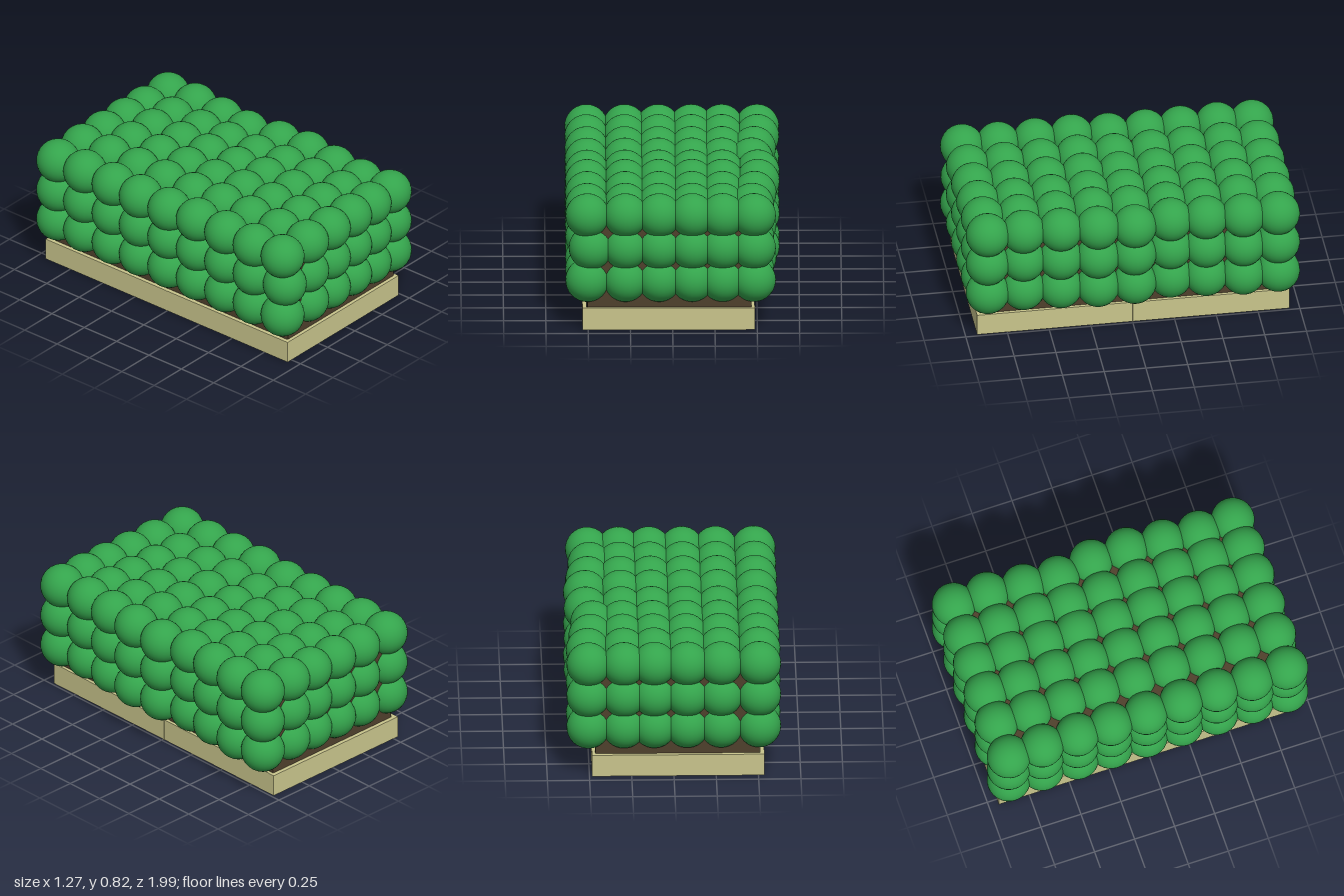
import * as THREE from 'three';

const mat = (color) => new THREE.MeshStandardMaterial({ color, side: THREE.DoubleSide });

export function createModel() {
  const model = new THREE.Group();
  const wood = mat(0xc9c58c), soil = mat(0x4f402c), leaf = mat(0x34a44c);

  const part = (parent, name, size, pos, material) => {
    const mesh = new THREE.Mesh(new THREE.BoxGeometry(...size), material);
    mesh.name = name;
    mesh.position.set(...pos);
    parent.add(mesh);
  };

  // Open rectangular frame of four thin walls around the given centre
  const frame = (parent, name, w, d, y0, y1, t, cx, cz, material) => {
    const h = y1 - y0, y = (y0 + y1) / 2;
    for (const s of [-1, 1]) {
      part(parent, name + 'End', [w, h, t], [cx, y, cz + s * (d - t) / 2], material);
      part(parent, name + 'Side', [t, h, d - 2 * t], [cx + s * (w - t) / 2, y, cz], material);
    }
  };

  // Planter edging boards with joint strips halfway along the long sides
  const planter = new THREE.Group();
  planter.name = 'planter';
  frame(planter, 'board', 1.02, 1.87, 0, 0.135, 0.025, -0.025, -0.005, wood);
  for (const s of [-1, 1])
    part(planter, 'boardJoint', [0.004, 0.135, 0.008], [-0.025 + s * 0.511, 0.0675, -0.005], wood);
  model.add(planter);

  // Hollow brown core, open underneath
  const core = new THREE.Group();
  core.name = 'core';
  frame(core, 'coreWall', 0.97, 1.82, 0.005, 0.68, 0.01, -0.02, -0.002, soil);
  part(core, 'coreTop', [0.97, 0.01, 1.82], [-0.02, 0.68, -0.002], soil);
  model.add(core);

  // Round leaf clumps over the sides and top of the core
  const foliage = new THREE.Group();
  foliage.name = 'foliage';
  const ball = new THREE.SphereGeometry(0.13, 28, 18);
  const xs = [-0.505, -0.28, -0.08, 0.115, 0.295, 0.48];
  const ys = [0.29, 0.49, 0.69];
  const zs = [-0.868, -0.66, -0.44, -0.23, -0.01, 0.21, 0.43, 0.65, 0.866];
  // Slight outward wander of the right and left edge rows
  const wander = [0.025, 0.025, 0.005, -0.01, 0.025, 0.025, 0.005, -0.01, 0];
  zs.forEach((z, k) => ys.forEach((y, j) => xs.forEach((x, i) => {
    const edgeX = i === 0 || i === 5, edgeZ = k === 0 || k === 8;
    if (!edgeX && !edgeZ && j < 2) return;
    const clump = new THREE.Mesh(ball, leaf);
    clump.name = 'leafClump';
    const dx = i === 5 ? wander[k] : i === 0 && j === 1 && k === 8 ? 0.02 : 0;
    const dy = j === 2 ? (k === 4 ? -0.008 : 0.004 * Math.sin(k * 1.6)) : 0;
    clump.position.set(x + dx, y + dy, z);
    foliage.add(clump);
  })));
  model.add(foliage);
  return model;
}
